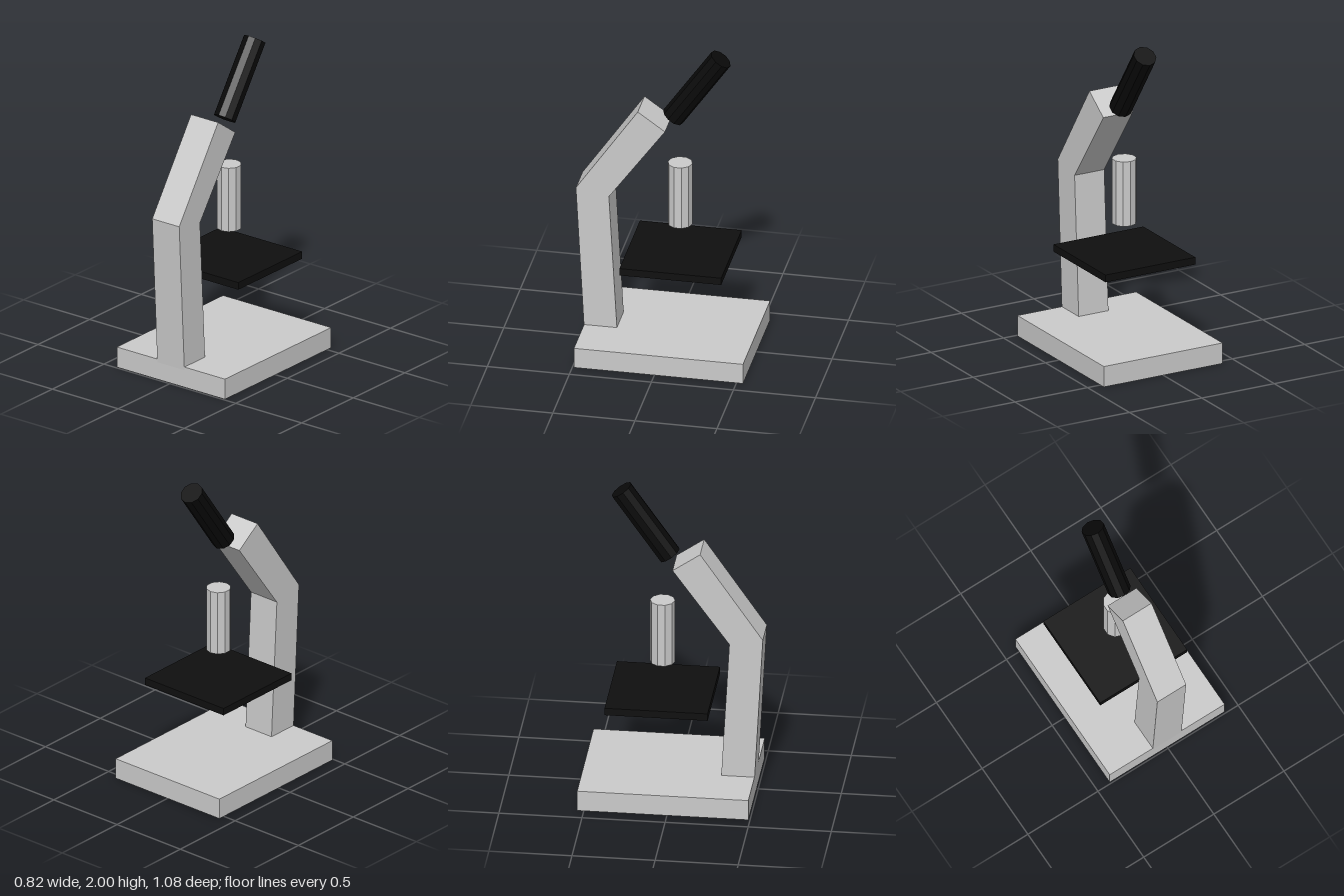
import * as THREE from 'three';

export function createModel() {
  const group = new THREE.Group();
  const material = (name, color) => {
    const m = new THREE.MeshStandardMaterial({ color, flatShading: true });
    m.name = name;
    return m;
  };
  const grey = material('light grey', 0xcacaca);
  const black = material('stage black', 0x0f0f0f);
  const deepBlack = material('eyepiece black', 0x090909);

  const add = (name, geometry, mat, x = 0, y = 0, z = 0) => {
    const mesh = new THREE.Mesh(geometry, mat);
    mesh.name = name;
    mesh.position.set(x, y, z);
    group.add(mesh);
    return mesh;
  };

  // Flat foot and specimen stage
  add('base', new THREE.BoxGeometry(0.82, 0.13, 1.03), grey, 0, 0.065, -0.025);
  add('stage', new THREE.BoxGeometry(0.62, 0.046, 0.62), black, 0, 0.622, -0.077);

  // Bent arm: side profile as (z, y), extruded across the width
  const profile = [[0.49, 0.11], [0.54, 1.052], [0.163, 1.604], [-0.003, 1.487], [0.339, 1.012], [0.289, 0.11]];
  const shape = new THREE.Shape(profile.map(([z, y]) => new THREE.Vector2(z, y)));
  const armWidth = 0.205;
  const arm = new THREE.ExtrudeGeometry(shape, { depth: armWidth, bevelEnabled: false });
  arm.translate(0, 0, -armWidth / 2).rotateY(-Math.PI / 2);
  add('arm', arm, grey);

  // Ten-sided objective above the stage
  add('objective', new THREE.CylinderGeometry(0.075, 0.075, 0.41, 10), grey, 0, 1.03, -0.075);

  // Ten-sided eyepiece tube, tilted back
  const eyepiece = add('eyepiece', new THREE.CylinderGeometry(0.071, 0.071, 0.51, 10), deepBlack, 0, 1.75, -0.177);
  eyepiece.rotation.x = -0.608;

  return group;
}
